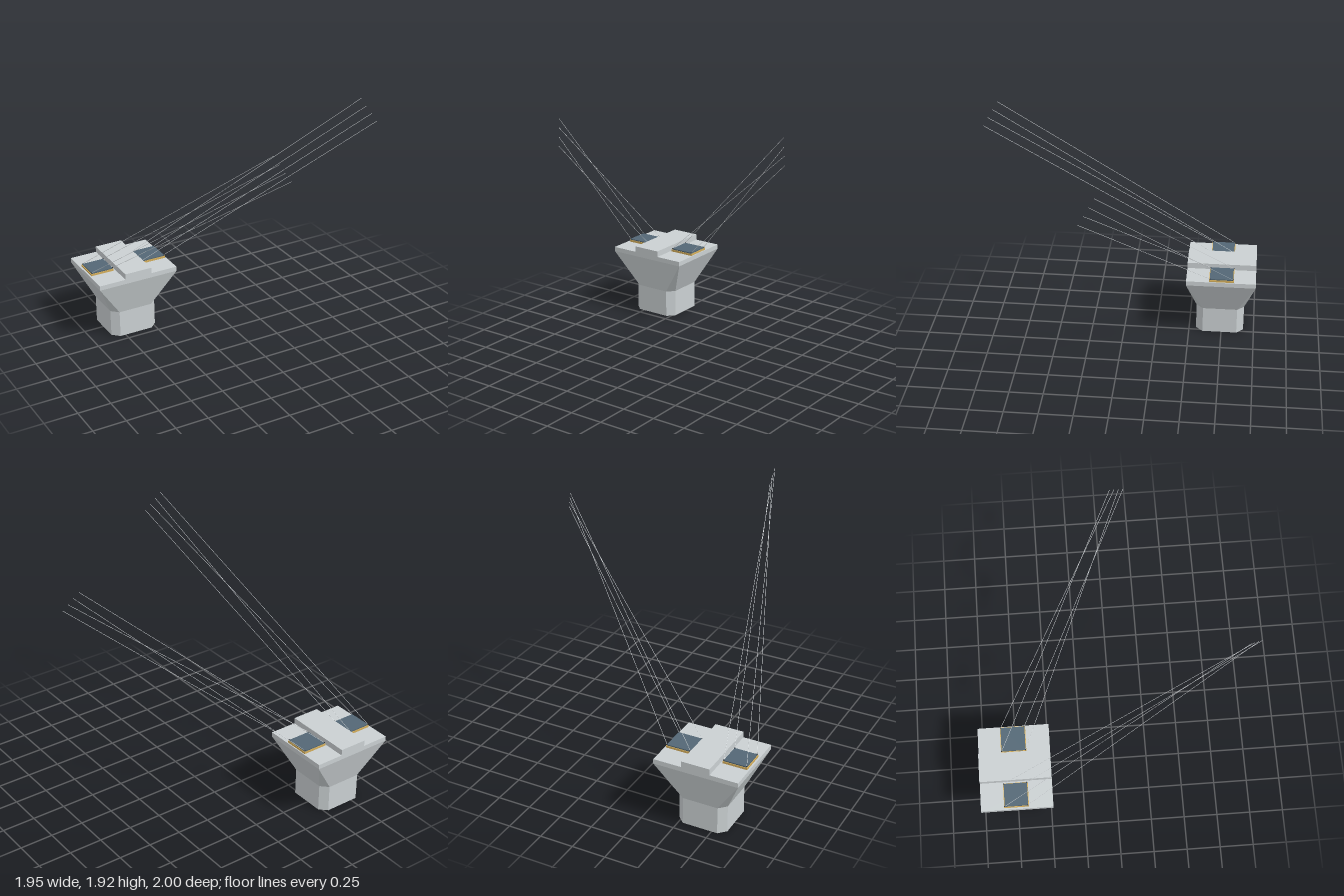
import * as THREE from 'three';

const concrete = new THREE.MeshStandardMaterial({ color: 0xcad0d2, name: 'concreteGrey' });
const gold = new THREE.MeshStandardMaterial({ color: 0xd4ae5c, name: 'brassGold' });
const slate = new THREE.MeshStandardMaterial({ color: 0x536775, name: 'slateBlue' });
const silver = new THREE.MeshStandardMaterial({ color: 0xd9dde0, name: 'cableSilver' });
const dark = new THREE.MeshStandardMaterial({ color: 0x2b3036, name: 'anchorDark' });

const CX = -0.662, CZ = -0.7365;             // pier centre
const STEM = 0.183, CHAMFER = 0.052;         // half width and corner cut of the stem
const CAP_X = 0.314, CAP_Z = 0.2625;         // half sizes of the cap
const Y_STEM = 0.205, Y_CAP = 0.475, Y_DECK = 0.51, Y_RIDGE = 0.555;

function add(parent, name, geometry, material, x = 0, y = 0, z = 0) {
  const mesh = new THREE.Mesh(geometry, material);
  mesh.name = name;
  mesh.position.set(x, y, z);
  parent.add(mesh);
  return mesh;
}

// Square with cut corners, two points per corner, counter-clockwise
function octagon() {
  const a = STEM, b = STEM - CHAMFER;
  return [[a, -b], [a, b], [b, a], [-b, a], [-a, b], [-a, -b], [-b, -a], [b, -a]];
}

// Octagon below blending into a rectangle above, with a triangle at every corner
function flareGeometry() {
  const low = octagon().map(([x, z]) => [x, Y_STEM, z]);
  const high = octagon().map(([x, z]) => [Math.sign(x) * CAP_X, Y_CAP, Math.sign(z) * CAP_Z]);
  const points = [];
  for (let i = 0; i < 8; i++) {
    const j = (i + 1) % 8;
    points.push(...low[i], ...high[i], ...low[j]);
    if (i % 2 === 0) points.push(...low[j], ...high[i], ...high[j]);
  }
  const geometry = new THREE.BufferGeometry();
  geometry.setAttribute('position', new THREE.Float32BufferAttribute(points, 3));
  geometry.computeVertexNormals();
  return geometry;
}

// Straight thin cable between two points
function addCable(parent, from, to) {
  const path = new THREE.LineCurve3(from, to);
  add(parent, 'cable', new THREE.TubeGeometry(path, 1, 0.0015, 6, false), silver);
}

// Bearing pad with a cable from each corner; cable ends step evenly from first to last
function addPad(parent, name, x, z, halfX, halfZ, first, last) {
  const group = new THREE.Group();
  group.name = name;
  parent.add(group);
  add(group, 'padBase', new THREE.BoxGeometry(halfX * 2, 0.015, halfZ * 2), gold, x, Y_DECK + 0.0075, z);
  const inset = 0.005;
  add(group, 'padPlate', new THREE.BoxGeometry((halfX - inset) * 2, 0.008, (halfZ - inset) * 2),
    slate, x, Y_DECK + 0.019, z);
  let i = 0;
  for (const sz of [-1, 1]) {
    for (const sx of [-1, 1]) {
      const px = x + sx * (halfX - 0.006), pz = z + sz * (halfZ - 0.006);
      add(group, 'cableAnchor', new THREE.CylinderGeometry(0.005, 0.005, 0.004, 8), dark, px, Y_DECK + 0.024, pz);
      addCable(group, new THREE.Vector3(px, Y_DECK + 0.024, pz), first.clone().lerp(last, i++ / 3));
    }
  }
}

export function createModel() {
  const model = new THREE.Group();
  model.name = 'cablePier';

  // Stem with chamfered corners
  const outline = new THREE.Shape(octagon().map(([x, y]) => new THREE.Vector2(x, y)));
  const stem = new THREE.ExtrudeGeometry(outline, { depth: Y_STEM, bevelEnabled: false });
  stem.rotateX(-Math.PI / 2);
  add(model, 'stem', stem, concrete, CX, 0, CZ);

  // Flared head
  add(model, 'flare', flareGeometry(), concrete, CX, 0, CZ);

  // Cap with a raised central ridge, one profile drawn along z
  const r = 0.106;
  const profile = new THREE.Shape([
    [-CAP_X, Y_CAP], [CAP_X, Y_CAP], [CAP_X, Y_DECK], [r, Y_DECK],
    [r, Y_RIDGE], [-r, Y_RIDGE], [-r, Y_DECK], [-CAP_X, Y_DECK],
  ].map(([x, y]) => new THREE.Vector2(x, y)));
  const cap = new THREE.ExtrudeGeometry(profile, { depth: CAP_Z * 2, bevelEnabled: false });
  add(model, 'capWithRidge', cap, concrete, CX, 0, CZ - CAP_Z);

  // Two pads and their cable bundles
  addPad(model, 'rightPad', -0.872, -0.740, 0.09, 0.09,
    new THREE.Vector3(-0.338, 1.915, 0.905), new THREE.Vector3(-0.264, 1.757, 1.0));
  addPad(model, 'leftPad', -0.451, -0.740, 0.095, 0.093,
    new THREE.Vector3(0.897, 1.795, 0.07), new THREE.Vector3(0.972, 1.638, 0.168));

  return model;
}
